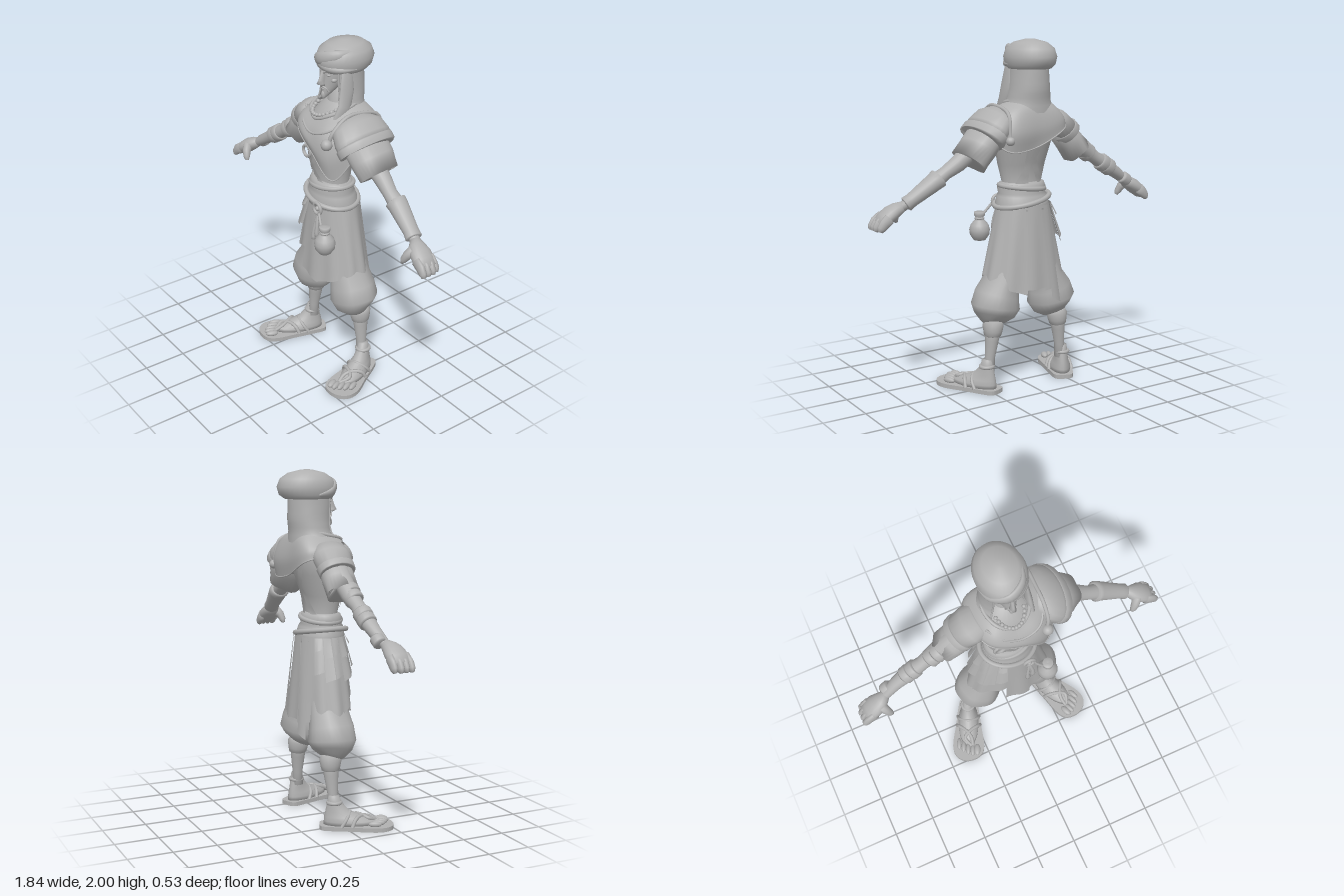
import * as THREE from 'three';
import { mergeVertices } from 'three/addons/utils/BufferGeometryUtils.js';

const clay = new THREE.MeshStandardMaterial({ color: 0xb0b0b0, side: THREE.DoubleSide });
clay.name = 'plain grey';
const V = (x, y, z) => new THREE.Vector3(x, y, z);
const curve = (pts, closed = false) => new THREE.CatmullRomCurve3(pts.map(p => V(...p)), closed);

function build(pos, idx) {
  const g = new THREE.BufferGeometry();
  g.setAttribute('position', new THREE.Float32BufferAttribute(pos, 3));
  g.setIndex(idx);
  g.computeVertexNormals();
  return g;
}

// Skin over elliptical rings [x, y, z, radius towards z, radius sideways]
function loft(rings, flat = false, seg = 20, wobble = () => 1) {
  const pos = [], idx = [], n = rings.length, c = rings.map(r => V(r[0], r[1], r[2]));
  for (let i = 0; i < n; i++) {
    const T = flat ? V(0, 1, 0) : c[Math.min(i + 1, n - 1)].clone().sub(c[Math.max(i - 1, 0)]).normalize();
    const U = V(0, 0, 1).addScaledVector(T, -T.z).normalize(), W = T.clone().cross(U);
    for (let j = 0; j < seg; j++) {
      const a = j / seg * Math.PI * 2, k = wobble(a, i);
      const p = c[i].clone().addScaledVector(U, rings[i][3] * Math.cos(a) * k).addScaledVector(W, rings[i][4] * Math.sin(a) * k);
      pos.push(p.x, p.y, p.z);
      const q = (j + 1) % seg, A = i * seg + j, B = i * seg + q;
      if (i < n - 1) idx.push(A, B, B + seg, A, B + seg, A + seg);
      if (i === 0) idx.push(B, A, n * seg);
      if (i === n - 1) idx.push(A, B, n * seg + 1);
    }
  }
  for (const p of [c[0], c[n - 1]]) pos.push(p.x, p.y, p.z);
  return build(pos, idx);
}

// Thin cloth from f(u, v)
function sheet(f, nu, nv) {
  const pos = [], idx = [];
  for (let i = 0; i <= nu; i++) for (let j = 0; j <= nv; j++) {
    pos.push(...f(i / nu, j / nv).toArray());
    const a = i * (nv + 1) + j, b = a + nv + 1;
    if (i < nu && j < nv) idx.push(a, a + 1, b, b, a + 1, b + 1);
  }
  return build(pos, idx);
}

const tube = (pts, r, closed = false, n = 32) => new THREE.TubeGeometry(curve(pts, closed), n, r, 8, closed);
const ball = (x, y, z, a, b = a, c = a) => new THREE.SphereGeometry(1, 16, 12).scale(a, b, c).translate(x, y, z);
const torus = (r, t, x, y, z) => new THREE.TorusGeometry(r, t, 8, 24).translate(x, y, z);

function mirrored(geo) {
  const g = geo.index ? geo.clone() : mergeVertices(geo), a = g.scale(-1, 1, 1).index.array;
  for (let i = 0; i < a.length; i += 3) [a[i], a[i + 1]] = [a[i + 1], a[i]];
  return g;
}

const TORSO = [[0, 1.03, -.02, .115, .15], [0, 1.12, -.01, .11, .135], [0, 1.2, -.01, .085, .122], [0, 1.3, -.008, .105, .145],
  [0, 1.42, -.022, .132, .172], [0, 1.52, -.035, .14, .18], [0, 1.59, -.045, .115, .14], [0, 1.66, -.05, .06, .07]];

// Point just above the torso surface, front (s = 1) or back (s = -1)
function onTorso(x, y, s, off = .008) {
  const i = Math.max(0, TORSO.findIndex(r => r[1] > y) - 1), p = TORSO[i], q = TORSO[i + 1];
  const t = (y - p[1]) / (q[1] - p[1]), m = k => p[k] + (q[k] - p[k]) * t;
  return V(x, y, m(2) + s * (off + m(3) * Math.sqrt(Math.max(0, 1 - (x / m(4)) ** 2))));
}
const strap = (x0, y0, x1, y1, w, s) => {
  const d = V(y0 - y1, x1 - x0, 0).normalize().multiplyScalar(w);
  return sheet((u, v) => onTorso(x0 + (x1 - x0) * u + d.x * (v - .5), y0 + (y1 - y0) * u + d.y * (v - .5), s), 14, 2);
};

// Skirt panel between two angles (degrees from the front towards +x)
function panel(a0, a1, top, hem0, hem1, off = 0, flare = 0) {
  return sheet((u, v) => {
    const a = (a0 + (a1 - a0) * u) * Math.PI / 180, hem = hem0 + (hem1 - hem0) * u;
    const y = top + (hem - top) * v, t = (1.1 - y) / .45, o = off + flare * v + .006 * v * Math.sin(a * 11);
    return V((.152 + .1 * t + o) * Math.sin(a), y, -.022 + (.125 + .038 * t + o) * Math.cos(a));
  }, Math.max(4, Math.round((a1 - a0) / 5)), 8);
}

// Shawl rows, each running front, left, back, right
const SHAWL = [
  [[0, 1.585, .1], [.09, 1.62, .06], [.125, 1.655, -.04], [.09, 1.67, -.13], [0, 1.67, -.165], [-.09, 1.67, -.13], [-.125, 1.645, -.04], [-.09, 1.62, .06]],
  [[0, 1.53, .14], [.13, 1.54, .13], [.22, 1.61, -.04], [.16, 1.61, -.18], [0, 1.61, -.195], [-.14, 1.61, -.17], [-.175, 1.6, -.04], [-.13, 1.57, .1]],
  [[.02, 1.47, .165], [.17, 1.42, .145], [.27, 1.55, -.04], [.2, 1.5, -.215], [0, 1.51, -.215], [-.175, 1.56, -.18], [-.205, 1.56, -.04], [-.15, 1.53, .11]],
  [[.05, 1.4, .155], [.185, 1.28, .12], [.28, 1.5, -.04], [.2, 1.4, -.2], [.03, 1.41, -.205], [-.185, 1.51, -.18], [-.21, 1.535, -.04], [-.15, 1.5, .11]]];

export function createModel() {
  const model = new THREE.Group();
  model.name = 'robedTraveller';
  const add = (name, geo) => {
    const m = new THREE.Mesh(geo, clay);
    m.name = name;
    model.add(m);
  };
  const pair = (name, geo) => { add('left' + name, geo); add('right' + name, mirrored(geo)); };

  // Head and face
  add('face', loft([[0, 1.69, .04, .008, .008], [0, 1.715, .022, .03, .024], [0, 1.755, -.01, .058, .045], [0, 1.79, -.03, .078, .058],
    [0, 1.825, -.04, .084, .07], [0, 1.86, -.05, .1, .072], [0, 1.92, -.07, .09, .07]], true, 24));
  add('nose', loft([[0, 1.765, .05, .014, .018], [0, 1.777, .062, .026, .016], [0, 1.795, .055, .022, .011], [0, 1.85, .045, .012, .01]], true, 12));
  add('neck', loft([[0, 1.56, -.045, .08, .085], [0, 1.65, -.05, .055, .06], [0, 1.76, -.06, .05, .05]], true));
  add('goatee', ball(0, 1.708, .044, .014, .024, .014));
  add('mouth', ball(0, 1.742, .042, .022, .006, .01));
  pair('Brow', tube([[.006, 1.84, .048], [.03, 1.85, .041], [.06, 1.845, .008]], .008, false, 10));
  pair('Eye', ball(.028, 1.825, .03, .014, .008, .012));
  pair('Cheekbone', ball(.047, 1.796, .006, .014, .013, .018));
  pair('Moustache', tube([[.004, 1.758, .052], [.022, 1.75, .044], [.03, 1.728, .03]], .005, false, 10));

  // Hood and turban
  const hood = [[1.92, .11, .12, -.08], [1.82, .112, .125, -.08], [1.73, .118, .122, -.085], [1.66, .128, .118, -.08], [1.6, .16, .13, -.07]];
  add('hood', sheet((u, v) => {
    const i = Math.min(3, Math.floor(v * 4)), t = v * 4 - i, a = (46 + 268 * u) * Math.PI / 180;
    const m = k => hood[i][k] + (hood[i + 1][k] - hood[i][k]) * t;
    return V(m(1) * Math.sin(a), m(0), m(3) + m(2) * Math.cos(a));
  }, 32, 12));
  for (const s of [1, -1]) add('hoodEdge', tube([[.082 * s, 1.88, .003], [.082 * s, 1.8, .005], [.088 * s, 1.7, .001], [.11 * s, 1.61, .018]], .005));
  add('hoodTail', loft([[.1, 1.86, -.04, .035, .012], [.112, 1.75, -.03, .045, .016], [.118, 1.66, -.01, .042, .02], [.118, 1.59, .04, .03, .016]]));
  add('turban', loft([[0, 1.845, -.085, .11, .1], [0, 1.84, -.09, .135, .118], [0, 1.862, -.097, .16, .133], [0, 1.905, -.1, .17, .14],
    [0, 1.95, -.1, .152, .127], [0, 1.982, -.1, .105, .09], [0, 2, -.1, .03, .025]], true, 32));
  const fold = (pts, h) => loft(curve(pts).getPoints(18).map((p, i) => {
    const k = .25 + .75 * Math.sin(i / 18 * Math.PI);
    return [p.x, p.y, p.z, .02 * k, h * k];
  }), false, 14);
  add('turbanFold', fold([[-.132, 1.86, -.08], [-.1, 1.875, .005], [-.01, 1.915, .055], [.075, 1.945, .012], [.11, 1.955, -.08]], .036));
  add('turbanFold', fold([[.13, 1.865, -.08], [.1, 1.865, -.005], [.04, 1.87, .04], [-.03, 1.88, .045], [-.09, 1.89, .0]], .022));

  // Torso, straps and necklace
  add('shirt', loft(TORSO, true, 28));
  add('chestStrap', strap(-.11, 1.54, -.09, 1.35, .035, 1));
  add('chestStrap', strap(-.09, 1.35, .03, 1.18, .035, 1));
  add('chestRing', torus(.033, .009, -.09, 1.35, .095));
  add('shirtLapel', strap(.1, 1.45, -.085, 1.23, .03, 1));
  for (const [a, b] of [[.09, -.07], [-.09, .07], [.03, .03]]) add('backStrap', strap(a, 1.54, b, 1.19, .035, -1));
  for (let i = -6; i <= 6; i++) {
    const a = i * .21;
    add('necklaceBead', ball(.085 * Math.sin(a), 1.648 - .04 * Math.cos(a), -.015 + .12 * Math.cos(a), .0115));
  }

  // Shawl
  const rows = SHAWL.map(r => curve(r, true));
  add('shawl', sheet((u, v) => new THREE.CatmullRomCurve3(rows.map(r => r.getPoint(u))).getPoint(v), 56, 14));
  add('shawlHem', tube(SHAWL[3], .004, true, 80));
  add('shawlCollar', tube(SHAWL[0], .011, true, 60));
  add('shawlFold', tube([[-.15, 1.6, .05], [-.08, 1.55, .122], [.02, 1.52, .148], [.13, 1.55, .125], [.19, 1.61, .02]], .007));
  add('shoulderCord', tube([[.165, 1.49, .135], [.18, 1.56, .115], [.185, 1.63, .03], [.185, 1.635, -.06], [.19, 1.6, -.18], [.2, 1.46, -.215]], .011));
  add('cordBall', ball(.165, 1.495, .145, .032));
  add('cordBall', ball(.2, 1.46, -.215, .025));

  // Shoulder caps and sleeves
  const torn = (a, i) => i === 2 ? 1 + .07 * Math.sin(a * 5) : 1;
  add('leftShoulderCap', loft([[.15, 1.6, -.04, .1, .05], [.19, 1.565, -.04, .16, .085], [.235, 1.515, -.042, .176, .1], [.28, 1.465, -.045, .172, .104], [.275, 1.47, -.045, .14, .085]]));
  add('leftCapRim', loft([[.25, 1.498, -.042, .17, .1], [.252, 1.496, -.042, .181, .107], [.28, 1.465, -.045, .18, .11], [.283, 1.462, -.045, .165, .1]]));
  add('leftSleeve', loft([[.24, 1.5, -.045, .14, .085], [.31, 1.415, -.055, .135, .093], [.368, 1.342, -.06, .11, .1], [.355, 1.36, -.06, .09, .082]], false, 30, torn));
  add('rightShoulderCap', loft([[-.15, 1.565, -.04, .1, .06], [-.2, 1.53, -.04, .112, .075], [-.27, 1.465, -.045, .102, .08]]));
  add('rightCapRim', loft([[-.255, 1.48, -.045, .104, .08], [-.257, 1.478, -.045, .11, .085], [-.283, 1.452, -.045, .106, .085], [-.285, 1.45, -.045, .098, .078]]));
  add('rightSleeve', loft([[-.23, 1.49, -.04, .09, .07], [-.3, 1.41, -.045, .094, .078], [-.355, 1.345, -.048, .088, .085], [-.345, 1.36, -.048, .07, .065]], false, 30, torn));

  // Arms and hands
  pair('Arm', loft([[.24, 1.5, -.04, .06, .06], [.36, 1.39, -.04, .055, .053], [.43, 1.335, -.04, .047, .047], [.5, 1.29, -.03, .04, .038],
    [.57, 1.245, -.03, .048, .044], [.67, 1.18, -.02, .038, .035], [.76, 1.118, 0, .028, .026]]));
  add('leftBracer', loft([[.54, 1.268, -.03, .045, .042], [.545, 1.264, -.03, .06, .055], [.57, 1.247, -.03, .057, .051],
    [.7, 1.158, -.012, .044, .039], [.73, 1.137, -.006, .047, .042], [.735, 1.134, -.005, .034, .03]]));
  for (const [x, y, r] of [[.4, 1.358, .055], [.44, 1.328, .054], [.555, 1.255, .052], [.595, 1.229, .051], [.725, 1.142, .038]])
    add('rightArmWrap', loft([[-x + .022, y + .015, -.03, r * .85, r * .85], [-x + .015, y + .01, -.03, r, r], [-x - .015, y - .01, -.027, r, r], [-x - .022, y - .015, -.026, r * .85, r * .85]]));
  pair('Palm', loft([[.745, 1.128, -.002, .028, .028], [.78, 1.11, .012, .05, .038], [.815, 1.09, .018, .062, .042], [.85, 1.064, .022, .064, .04], [.885, 1.038, .022, .058, .03]]));
  for (let i = 0; i < 4; i++) {
    const z = -.024 + i * .031, e = i === 0 ? -.012 : 0;
    pair('Finger', loft([[.84, 1.072, z, .019, .033], [.88 + e, 1.046, z, .02, .031], [.902 + e, 1.02, z, .019, .024], [.909 + e, 1.004, z, .011, .013]], false, 10));
  }
  pair('Thumb', loft([[.79, 1.105, .045, .03, .03], [.772, 1.075, .07, .025, .025], [.757, 1.045, .08, .02, .019], [.748, 1.026, .083, .01, .01]], false, 12));

  // Sash and belt
  add('sash', loft([[0, 1.2, -.01, .085, .122], [0, 1.192, -.01, .103, .137], [0, 1.165, -.01, .116, .146], [0, 1.135, -.01, .112, .14],
    [0, 1.12, -.012, .122, .15], [0, 1.08, -.015, .132, .16], [0, 1.045, -.018, .135, .163], [0, 1.03, -.02, .115, .15]], true, 32));
  const loop = (rx, rz, y, tilt) => Array.from({ length: 12 }, (_, i) => {
    const a = i * Math.PI / 6;
    return [rx * Math.sin(a), y - tilt * Math.sin(a), -.013 + rz * Math.cos(a)];
  });
  add('belt', tube(loop(.163, .14, 1.09, .03), .015, true, 48));
  add('sashRoll', tube(loop(.135, .11, 1.165, -.015), .014, true, 48));
  add('beltRing', torus(.032, .01, .07, 1.065, .14));
  add('ringBead', ball(.07, 1.065, .138, .014));
  for (const [x, y] of [[.055, .87], [.085, .9]])
    add('beltTassel', loft([[.07, 1.035, .14, .006, .008], [x, y + .06, .155, .007, .01], [x, y + .02, .158, .012, .015], [x, y, .158, .01, .014]], false, 10));

  // Pouch
  add('pouch', new THREE.LatheGeometry([[0, -.068], [.035, -.06], [.056, -.03], [.06, 0], [.052, .03], [.03, .055], [.02, .068],
    [.032, .085], [.03, .105], [0, .1]].map(p => new THREE.Vector2(...p)), 24).translate(.175, .9, .165));
  add('pouchTie', new THREE.TorusGeometry(.022, .007, 8, 20).rotateX(Math.PI / 2).translate(.175, .967, .165));
  add('pouchCord', tube([[.175, .97, .165], [.14, 1.0, .165], [.1, 1.05, .15]], .008));

  // Skirt panels
  add('skirtLeftFront', panel(12, 85, 1.07, .58, .68));
  add('skirtLeftBack', panel(85, 165, 1.07, .68, .57));
  add('skirtRightBack', panel(192, 288, 1.07, .58, .65));
  add('skirtRightFront', panel(284, 352, 1.07, .65, .77, .005));
  add('skirtFrontFlap', panel(-17, 16, 1.07, .62, .585, .008));
  add('skirtBackFlap', panel(164, 194, 1.07, .6, .6, .008));
  add('skirtBackStrip', panel(198, 212, 1.07, .53, .5, .012));
  add('skirtBackStrip', panel(146, 160, 1.07, .6, .64, .012));
  [.88, .84, .86, .84, .85, .9].forEach((h, i) => {
    const a = 230 + i * 19;
    add('hipStrip', panel(a, a + 18, 1.07, h - .01, h + .01, .008, .025));
    add('hipStripOverlay', panel(a + 2, a + 16, 1.07, h + .12, h + .13, .012, .016));
  });

  // Trousers and legs
  pair('Trouser', loft([[.06, 1.06, -.02, .1, .085], [.08, .92, -.025, .105, .09], [.105, .78, -.028, .11, .09], [.145, .65, -.03, .115, .092],
    [.178, .56, -.03, .13, .125], [.19, .49, -.032, .138, .141], [.2, .44, -.035, .115, .115], [.213, .408, -.045, .075, .075], [.215, .395, -.05, .05, .05]],
    false, 28, (a, i) => i > 2 && i < 7 ? 1 + .02 * Math.sin(a * 6) : 1));
  pair('CalfCuff', loft([[.217, .405, -.05, .055, .052], [.22, .39, -.055, .064, .06], [.222, .355, -.056, .058, .054], [.225, .33, -.056, .052, .048], [.225, .325, -.056, .04, .038]]));
  pair('Shin', loft([[.216, .41, -.055, .05, .046], [.228, .3, -.055, .042, .038], [.24, .2, -.052, .03, .029], [.246, .12, -.05, .034, .032]]));

  // Feet in sandals, toes turned out
  const place = g => g.rotateY(.41).translate(.247, 0, -.08);
  const sole = new THREE.Shape(new THREE.SplineCurve([[0, .052], [-.05, .04], [-.068, -.04], [-.084, -.15], [-.1, -.27], [-.078, -.335], [0, -.368],
    [.07, -.345], [.1, -.27], [.08, -.13], [.068, -.03], [.05, .04], [0, .052]].map(p => new THREE.Vector2(...p))).getPoints(48));
  pair('SandalSole', place(new THREE.ExtrudeGeometry(sole, { depth: .024, bevelEnabled: false }).rotateX(-Math.PI / 2)));
  pair('Foot', place(loft([[0, .02, .125, .155, .064], [0, .045, .118, .145, .065], [0, .07, .085, .11, .052], [0, .1, .05, .068, .04], [0, .15, .032, .04, .034], [0, .19, .03, .03, .028]], true, 24)));
  for (let i = 0; i < 5; i++)
    pair('Toe', place(ball(-.056 + i * .029, .035, [.3, .304, .294, .28, .26][i], i ? .0155 : .02, .017, .038)));
  for (const s of [1, -1]) pair('SandalStrap', place(tube([[s * .076, .02, .13], [s * .056, .062, .15], [s * .01, .072, .185], [-s * .02, .06, .225], [-.028, .03, .28]], .011, false, 20)));
  pair('SandalStrap', place(tube([[-.07, .02, .07], [-.055, .065, .1], [0, .093, .12], [.055, .065, .1], [.07, .02, .07]], .01, false, 24)));
  pair('AnkleWrap', place(new THREE.TorusGeometry(.036, .011, 8, 24).rotateX(Math.PI / 2).translate(0, .148, .032)));
  return model;
}
